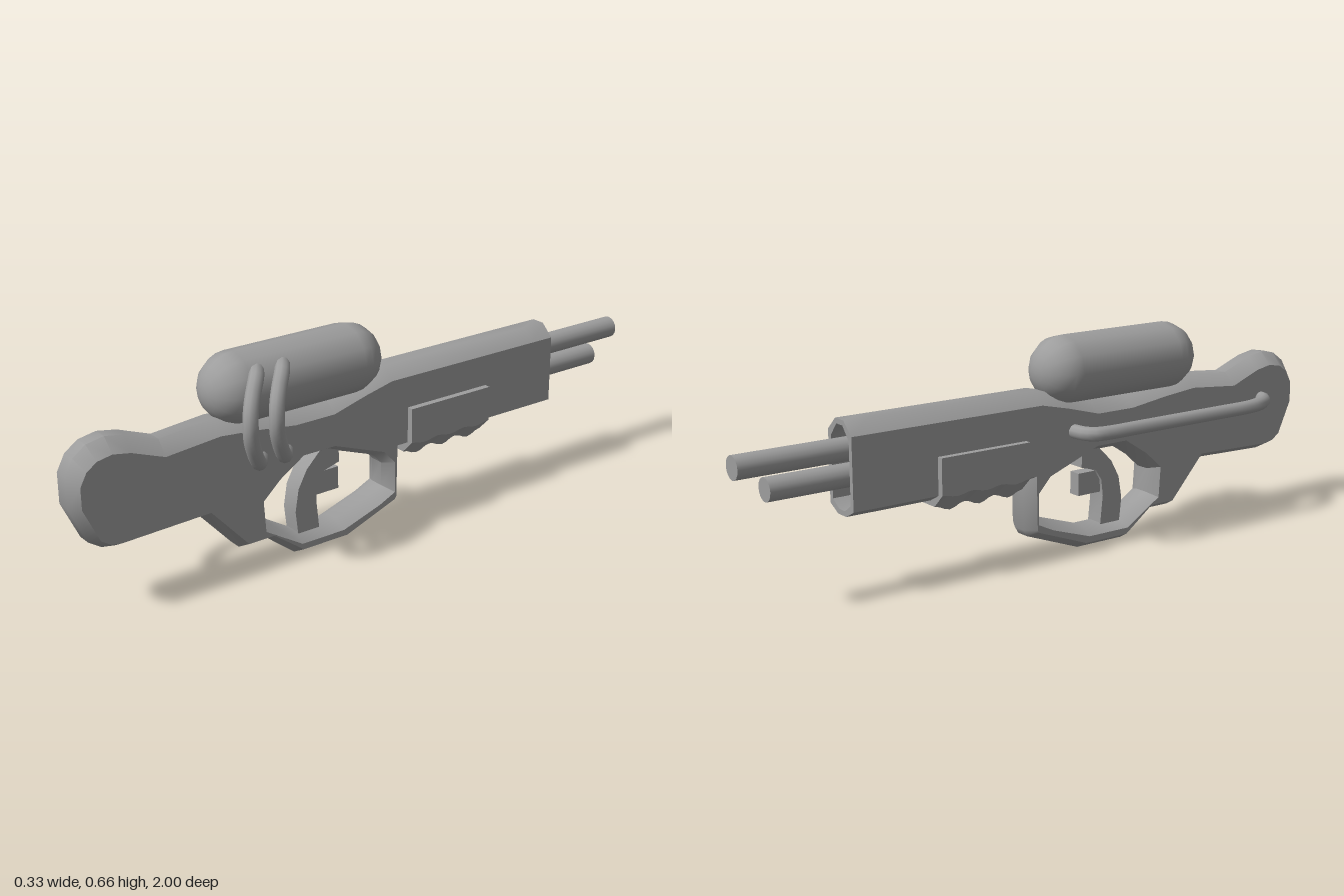
import * as THREE from 'three';
import { toCreasedNormals } from 'three/addons/utils/BufferGeometryUtils.js';

const CX = -0.005;      // centre plane of the body
const HALF = 0.063;     // half width of the body
const CREASE = 0.78;    // edges sharper than this stay hard

export function createModel() {
  const group = new THREE.Group();
  const material = new THREE.MeshStandardMaterial({ color: 0x9d9d9d });
  const add = (name, geometry, x = 0, y = 0, z = 0) => {
    const mesh = new THREE.Mesh(geometry, material);
    mesh.name = name;
    mesh.position.set(x, y, z);
    group.add(mesh);
  };
  const toPoints = (list) => list.map(([a, b]) => new THREE.Vector2(a, b));

  // Side profile given as [z, y], extruded across the width
  const sideExtrude = (shape, half, bevelSize = 0, bevelThickness = 0) => {
    const depth = 2 * (half - bevelThickness);
    const g = new THREE.ExtrudeGeometry(shape, {
      depth, bevelEnabled: bevelSize > 0, bevelSize, bevelThickness,
      bevelOffset: -bevelSize, bevelSegments: 1,
    });
    g.translate(0, 0, -depth / 2);
    g.rotateY(-Math.PI / 2);
    return g;
  };

  // Body, stock and trigger guard in one chamfered profile
  const outline = new THREE.Shape(toPoints([
    [-0.6, 0.24], [-0.085, 0.24], [-0.082, 0.09], [-0.07, 0.07], [0.12, 0], [0.29, 0],
    [0.385, 0.075], [0.48, 0.075], [0.6, 0.208], [0.87, 0.2], [0.91, 0.207],
    [0.948, 0.232], [1, 0.345], [1, 0.435], [0.975, 0.482], [0.935, 0.511],
    [0.88, 0.521], [0.82, 0.51], [0.72, 0.472], [0.55, 0.487], [0.43, 0.475],
    [0.3, 0.457], [0.17, 0.457], [0.06, 0.487], [-0.04, 0.51], [-0.6, 0.51],
  ]));
  outline.holes.push(new THREE.Path(toPoints([
    [0.395, 0.205], [0.345, 0.25], [0.27, 0.298], [0.17, 0.298], [0, 0.235], [-0.033, 0.2],
    [-0.033, 0.125], [0.01, 0.105], [0.14, 0.063], [0.28, 0.063], [0.39, 0.13],
  ])));
  const body = sideExtrude(outline, HALF, 0.022, 0.041);
  const p = body.attributes.position;
  for (let i = 0; i < p.count; i++) {
    if (p.getZ(i) < -0.5) p.setZ(i, -0.6);                 // square front end
    if (Math.abs(p.getX(i)) > 0.06 && p.getY(i) > 0.4) {
      p.setY(i, p.getY(i) - 0.016);                        // deeper top chamfer
    }
  }
  add('body', toCreasedNormals(body, CREASE), CX);

  // Hollow muzzle frame
  const octagon = (inset) => {
    const w = HALF - inset, n = 0.022 - inset * 0.4;
    const top = 0.51 - inset, bottom = 0.24 + inset;
    return toPoints([
      [-n, bottom], [n, bottom], [w, bottom + 0.022], [w, top - 0.038],
      [n, top], [-n, top], [-w, top - 0.038], [-w, bottom + 0.022],
    ]);
  };
  const frame = new THREE.Shape(octagon(0));
  frame.holes.push(new THREE.Path(octagon(0.015)));
  const muzzle = new THREE.ExtrudeGeometry(frame, { depth: 0.08, bevelEnabled: false });
  add('muzzleFrame', toCreasedNormals(muzzle, CREASE), CX, 0, -0.68);

  // Two barrels
  for (const [name, y, end] of [['upperBarrel', 0.425, -1], ['lowerBarrel', 0.351, -0.91]]) {
    const length = -0.59 - end;
    const g = new THREE.CylinderGeometry(0.034, 0.034, length, 16).rotateX(Math.PI / 2);
    add(name, g, CX, y, end + length / 2);
  }

  // Fore grip with a tapered, rippled underside
  const grip = new THREE.BoxGeometry(0.166, 0.155, 0.305, 1, 2, 18);
  const q = grip.attributes.position;
  for (let i = 0; i < q.count; i++) {
    const ripple = 0.008 * Math.cos((q.getZ(i) / 0.305 + 0.5) * Math.PI * 6);
    if (q.getY(i) < -0.05) {
      q.setX(i, q.getX(i) * 0.5);
      q.setY(i, 0.217 + ripple);
    } else if (q.getY(i) < 0.05) q.setY(i, 0.262 + ripple * 0.5);
    else q.setY(i, 0.375);
  }
  add('foreGrip', toCreasedNormals(grip, 0.5), CX, 0, -0.2545);

  // Curved trigger support and trigger
  const support = new THREE.Shape(toPoints([
    [0.278, 0.05], [0.287, 0.13], [0.275, 0.2], [0.245, 0.255], [0.19, 0.31], [0.13, 0.3],
    [0.13, 0.25], [0.185, 0.235], [0.207, 0.2], [0.213, 0.15], [0.203, 0.05],
  ]));
  add('triggerSupport', toCreasedNormals(sideExtrude(support, 0.03), 0.5), CX);
  add('trigger', new THREE.BoxGeometry(0.04, 0.07, 0.085), CX, 0.195, 0.168);

  // Rounded tank on top
  const tank = new THREE.CapsuleGeometry(0.105, 0.38, 6, 12).rotateX(Math.PI / 2);
  add('tank', tank, CX, 0.555, 0.272);

  // Bent tubes
  const tube = (name, points, segments) => {
    const curve = new THREE.CatmullRomCurve3(points.map((v) => new THREE.Vector3(...v)), false, 'centripetal');
    add(name, new THREE.TubeGeometry(curve, segments, 0.022, 10));
  };
  for (const z of [0.43, 0.345]) {
    tube('tankHose', [
      [0.045, 0.612, z - 0.01], [0.095, 0.608, z + 0.025], [0.122, 0.57, z + 0.055],
      [0.138, 0.53, z + 0.073], [0.143, 0.49, z + 0.078], [0.138, 0.45, z + 0.073],
      [0.12, 0.395, z + 0.05], [0.092, 0.355, z + 0.02], [0.045, 0.348, z - 0.015],
    ], 28);
  }
  tube('sidePipe', [
    [-0.05, 0.378, 0.075], [-0.11, 0.378, 0.083], [-0.135, 0.378, 0.105], [-0.143, 0.378, 0.15],
    [-0.143, 0.378, 0.25], [-0.143, 0.378, 0.6], [-0.143, 0.378, 0.7], [-0.134, 0.378, 0.76],
    [-0.108, 0.378, 0.815], [-0.085, 0.378, 0.838], [-0.05, 0.378, 0.845],
  ], 48);

  return group;
}
